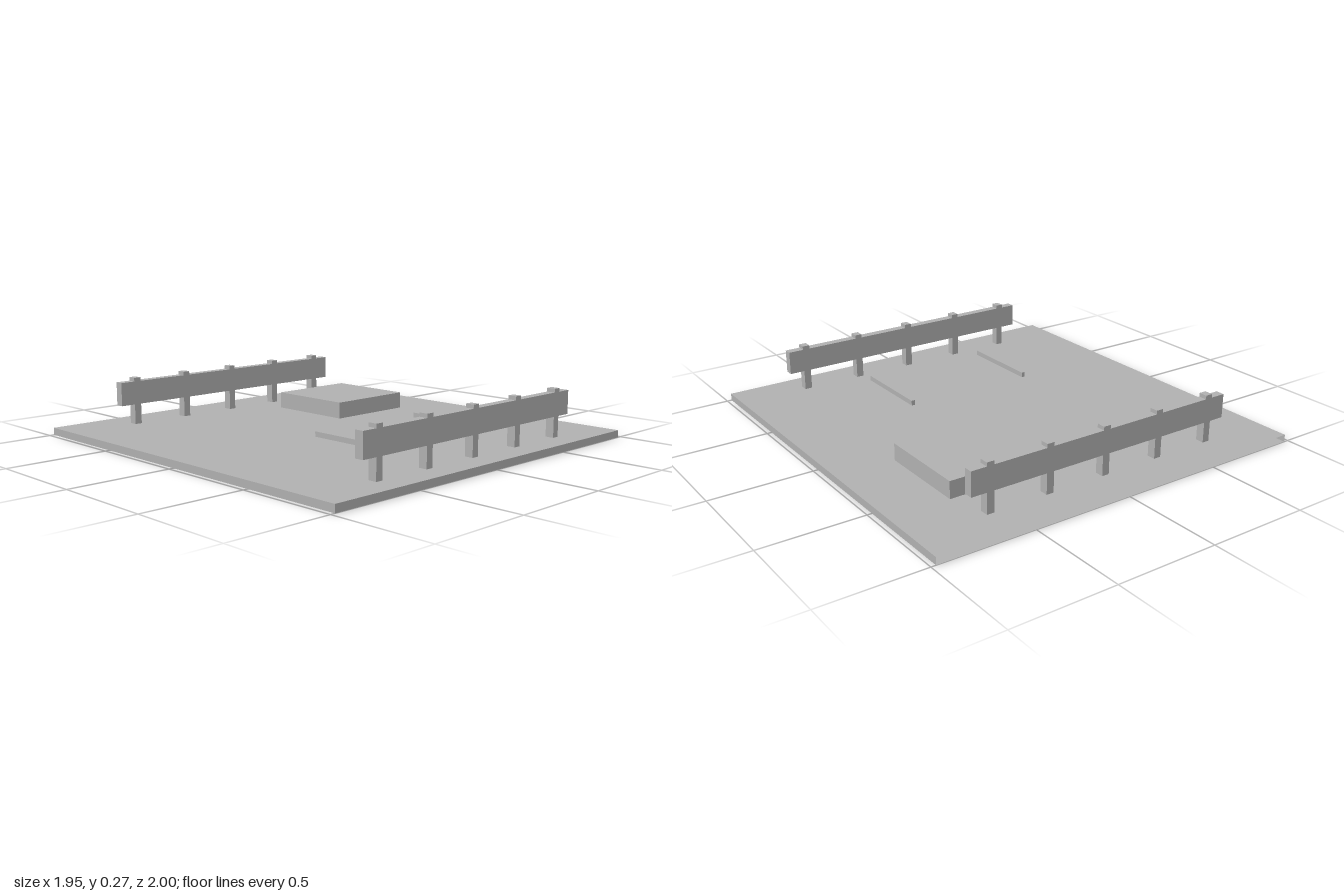
import * as THREE from 'three';

const grey = new THREE.MeshStandardMaterial({ color: 0xb0b0b0, side: THREE.DoubleSide });
grey.name = 'plain grey';

// Box given by its minimum and maximum corners
function block(name, [x0, y0, z0], [x1, y1, z1]) {
  const geometry = new THREE.BoxGeometry(x1 - x0, y1 - y0, z1 - z0);
  const mesh = new THREE.Mesh(geometry, grey);
  mesh.name = name;
  mesh.position.set((x0 + x1) / 2, (y0 + y1) / 2, (z0 + z1) / 2);
  return mesh;
}

// Rail on five posts, running along x
function createBarrier(name, z) {
  const barrier = new THREE.Group();
  barrier.name = name;
  const d = 0.0215;
  barrier.add(block('rail', [-0.707, 0.137, -d], [0.707, 0.254, d]));
  for (let i = -2; i <= 2; i++) {
    const x = i * 0.306;
    barrier.add(block('post', [x - 0.0185, 0.036, -d], [x + 0.0185, 0.272, d]));
  }
  barrier.position.z = z;
  return barrier;
}

export function createModel() {
  const model = new THREE.Group();
  model.name = 'platform';

  // Base slab, open along its back edge (the back is the last of six faces)
  const base = block('base', [-0.977, 0, -1], [0.977, 0.036, 1]);
  base.geometry.setIndex([...base.geometry.index.array].slice(0, 30));
  base.geometry.clearGroups();
  model.add(base);

  // Barriers at the front and back
  model.add(createBarrier('frontBarrier', 0.859), createBarrier('backBarrier', -0.817));

  // Low block on the back left
  model.add(block('lowBlock', [0.213, 0.036, -0.637], [0.68, 0.12, -0.178]));

  // Pair of slim bars held above the base
  for (const [name, x] of [['leftBar', 0.336], ['rightBar', -0.339]]) {
    model.add(block(name, [x - 0.009, 0.082, 0.23], [x + 0.009, 0.107, 0.65]));
  }
  return model;
}
